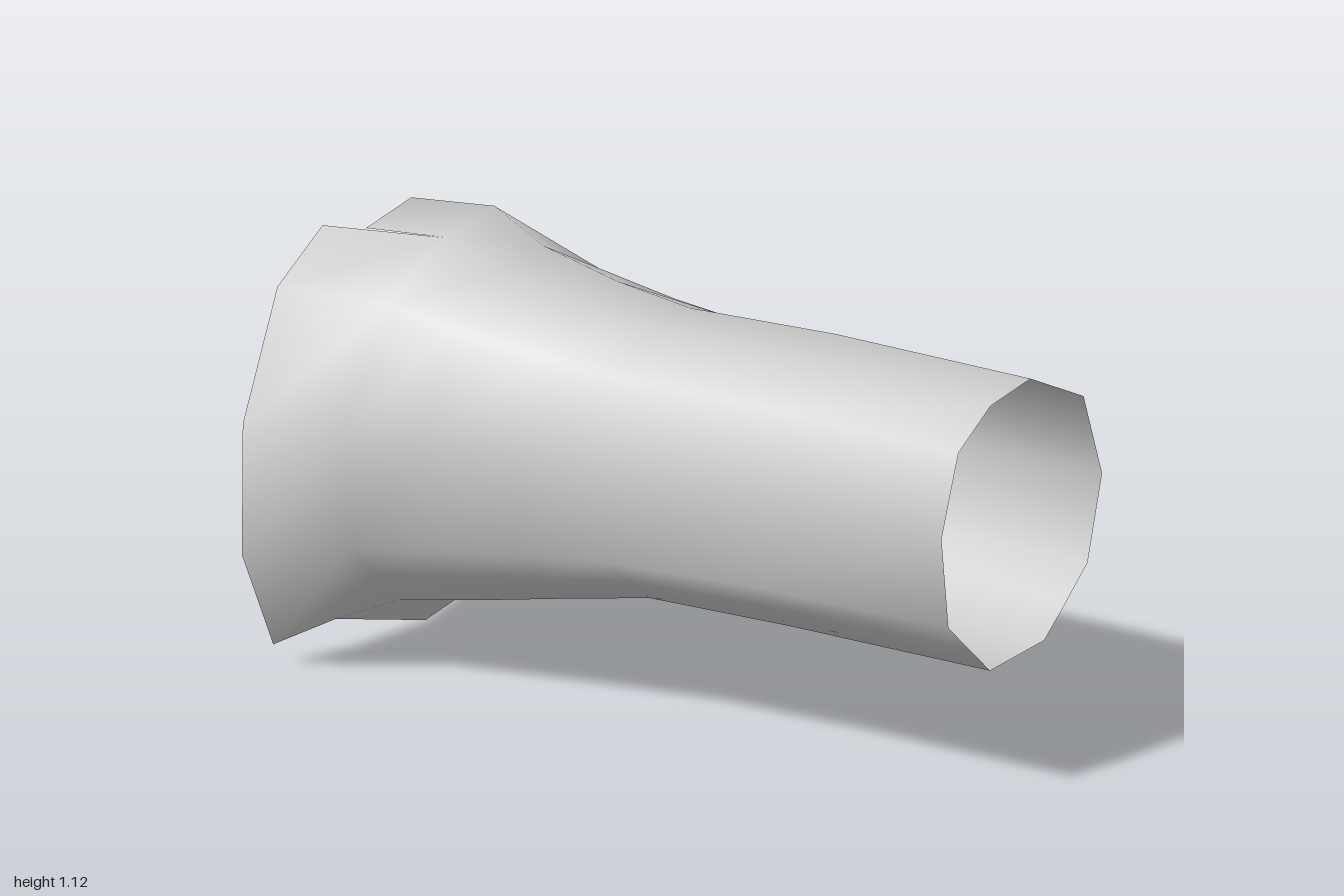
import * as THREE from 'three';

// Cross-sections, clockwise from the top as seen from the front: [x, y]
const FRONT = [[-0.08, 1.0], [0.09, 1.02], [0.31, 0.91], [0.38, 0.69], [0.31, 0.48], [0.215, 0.405],
  [0.12, 0.335], [-0.11, 0.325], [-0.195, 0.405], [-0.28, 0.485], [-0.3, 0.72], [-0.22, 0.92]];
const WAIST = [[-0.08, 0.99], [0.08, 0.995], [0.31, 0.89], [0.38, 0.68], [0.3, 0.45], [0.21, 0.365],
  [0.12, 0.28], [-0.12, 0.305], [-0.21, 0.375], [-0.3, 0.45], [-0.34, 0.7], [-0.24, 0.91]];
const FLARE = [[-0.09, 1.1], [0.12, 1.12], [0.375, 0.95], [0.48, 0.64], [0.41, 0.37], [0.28, 0.24],
  [0.12, 0.12], [-0.2, 0.18], [-0.31, 0.28], [-0.42, 0.38], [-0.485, 0.7], [-0.32, 0.99]];
// Ragged back hem [x, y, z]; its first and last points form the step at the top
const HEM = [[-0.1, 1.08, -0.87], [0.12, 1.09, -0.89], [0.365, 0.94, -0.88], [0.515, 0.575, -0.85],
  [0.5, 0.33, -0.85], [0.33, 0.035, -0.89], [0.11, 0.005, -0.84], [-0.2, 0.09, -0.89],
  [-0.38, 0.065, -0.95], [-0.52, 0.34, -0.945], [-0.495, 0.67, -0.96], [-0.32, 0.97, -0.98],
  [-0.1, 1.06, -1.0]];

const lerp = THREE.MathUtils.lerp;

// Blend two sections; the weight and depth may differ from top to bottom
function blend(a, b, [wTop, wBottom], [zTop, zBottom]) {
  return a.map(([x, y], i) => {
    const low = THREE.MathUtils.clamp((1.02 - y) / 0.7, 0, 1);
    const w = lerp(wTop, wBottom, low);
    return [lerp(x, b[i][0], w), lerp(y, b[i][1], w), lerp(zTop, zBottom, low)];
  });
}

function sleeveGeometry() {
  const rings = [
    blend(FRONT, WAIST, [0, 0], [0.98, 1]),
    blend(FRONT, WAIST, [0.2, 0.4], [0.4, 0.4]),
    blend(WAIST, FLARE, [0, 0], [-0.03, -0.01]),
    blend(WAIST, FLARE, [0.16, 0.35], [-0.25, -0.25]),
    blend(WAIST, FLARE, [0.48, 0.7], [-0.48, -0.48]),
    blend(WAIST, FLARE, [1, 1], [-0.64, -0.7]),
    HEM,
  ];
  const n = FRONT.length;
  const index = [];
  for (let r = 0; r < rings.length - 1; r++) {
    for (let c = 0; c < n; c++) {
      const a = r * n + c;
      const b = r * n + (c + 1) % n;
      const d = (r + 1) * n + c;
      // the hem ring stays open at the step
      const e = rings[r + 1] === HEM ? d + 1 : (r + 1) * n + (c + 1) % n;
      index.push(a, b, d, b, e, d);
    }
  }
  const geometry = new THREE.BufferGeometry();
  geometry.setAttribute('position', new THREE.Float32BufferAttribute(rings.flat(2), 3));
  geometry.setIndex(index);
  geometry.computeVertexNormals();
  return geometry;
}

export function createModel() {
  const group = new THREE.Group();
  group.name = 'flaredSleeve';
  // Thin open tube, flaring to the hem
  const material = new THREE.MeshStandardMaterial({ color: 0xcccccc, side: THREE.DoubleSide });
  const sleeve = new THREE.Mesh(sleeveGeometry(), material);
  sleeve.name = 'sleeve';
  group.add(sleeve);
  return group;
}
